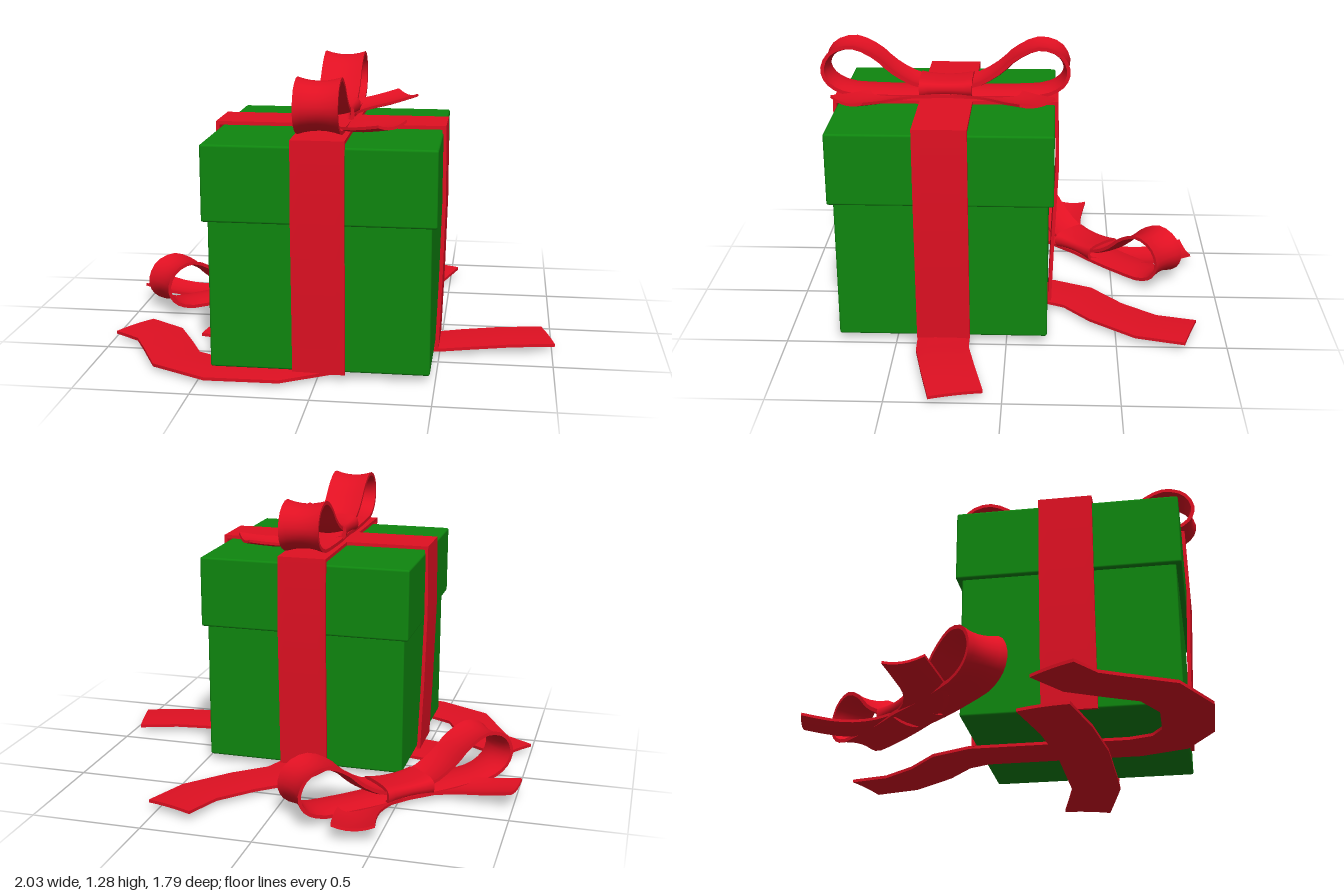
import * as THREE from 'three';
import { toCreasedNormals } from 'three/addons/utils/BufferGeometryUtils.js';
import { RoundedBoxGeometry } from 'three/addons/geometries/RoundedBoxGeometry.js';

const red = new THREE.MeshStandardMaterial({ color: 0xe01022 });
const green = new THREE.MeshStandardMaterial({ color: 0x0f860f });
const UP = new THREE.Vector3(0, 1, 0);
const V = (x, y, z) => new THREE.Vector3(x, y, z);

// Strip of ribbon along a path: thin, mitred at bends, bowed across its width by "curl".
// "side" fixes the width direction; without it the strip lies flat on the ground plane.
function ribbon(name, path, { width, side = null, thick = 0.016, curl = 0, closed = false }) {
  const across = 6, ring = 2 * (across + 1), n = path.length;
  const pos = [], idx = [];
  const quad = (a, b, c, d) => idx.push(a, b, c, a, c, d);
  path.forEach((p, i) => {
    const prev = closed ? path[(i + n - 1) % n] : path[Math.max(i - 1, 0)];
    const next = closed ? path[(i + 1) % n] : path[Math.min(i + 1, n - 1)];
    const tIn = p.clone().sub(prev).normalize(), tOut = next.clone().sub(p).normalize();
    const t = tIn.clone().add(tOut).normalize();
    const miter = 1 / Math.max(0.5, t.dot(tOut.lengthSq() ? tOut : tIn));
    const s = side ? side.clone() : t.clone().cross(UP).normalize();
    const nrm = s.clone().cross(t).normalize();
    for (let k = 0; k < ring; k++) {
      const top = k <= across;
      const v = (top ? k : ring - 1 - k) / across * 2 - 1;
      const w = v * width / 2 * (side ? 1 : miter);
      const h = (top ? 0.5 : -0.5) * thick + curl * (1 - v * v);
      const q = p.clone().addScaledVector(s, w).addScaledVector(nrm, h * (side ? miter : 1));
      pos.push(q.x, q.y, q.z);
    }
  });
  for (let i = 0; i < (closed ? n : n - 1); i++) {
    const a = i * ring, b = ((i + 1) % n) * ring;
    for (let k = 0; k < ring; k++) {
      const k2 = (k + 1) % ring;
      quad(a + k, a + k2, b + k2, b + k);
    }
  }
  if (!closed) {
    const e = (n - 1) * ring;
    for (let j = 0; j < across; j++) {
      const l = ring - 1 - j;
      quad(j, l, l - 1, j + 1);
      quad(e + j, e + j + 1, e + l - 1, e + l);
    }
  }
  const geo = new THREE.BufferGeometry();
  geo.setAttribute('position', new THREE.Float32BufferAttribute(pos, 3));
  geo.setIndex(idx);
  const mesh = new THREE.Mesh(toCreasedNormals(geo, 0.75), red);
  mesh.name = name;
  return mesh;
}

const smooth = (pts, count) => new THREE.CatmullRomCurve3(pts).getPoints(count);

function box(name, w, h, d, x, y, z) {
  const mesh = new THREE.Mesh(new RoundedBoxGeometry(w, h, d, 2, 0.01), green);
  mesh.name = name;
  mesh.position.set(x, y, z);
  return mesh;
}

// Bow with two loops along z, two tails towards +x and a pinched knot; y = 0 is its underside
function createBow(name) {
  const bow = new THREE.Group();
  bow.name = name;
  const loop = [[0.0, 0.025], [0.14, 0.02], [0.3, 0.022], [0.46, 0.035], [0.535, 0.08], [0.558, 0.145],
    [0.52, 0.22], [0.425, 0.25], [0.32, 0.205], [0.24, 0.135], [0.13, 0.075], [0, 0.06]];
  const tail = [[0, 0.03, 0.05], [0.03, 0.03, 0.15], [0.1, 0.035, 0.265], [0.19, 0.045, 0.345], [0.3, 0.07, 0.42]];
  for (const m of [1, -1]) {
    const tag = m > 0 ? 'Front' : 'Back';
    bow.add(ribbon('bowLoop' + tag, smooth(loop.map(([z, y]) => V(0, y, z * m)), 28),
      { width: 0.185, side: V(m, 0, 0), curl: -0.016 }));
    bow.add(ribbon('bowTail' + tag, smooth(tail.map(([x, y, z]) => V(x, y, z * m)), 8),
      { width: 0.185, curl: -0.018, thick: 0.012 }));
  }
  const knot = [];
  for (let i = 0; i < 20; i++) {
    const a = i / 20 * Math.PI * 2, c = Math.cos(a), s = Math.sin(a);
    knot.push(V(0.1 * Math.sign(c) * Math.abs(c) ** 0.6, 0.054 + 0.036 * Math.sign(s) * Math.abs(s) ** 0.6, 0));
  }
  bow.add(ribbon('bowKnot', knot, { width: 0.24, side: V(0, 0, -1), curl: -0.012, closed: true }));
  return bow;
}

export function createModel() {
  const model = new THREE.Group();
  model.name = 'giftBox';
  const cx = 0.008, cz = 0.288;

  // Box and lid
  model.add(box('boxBase', 0.94, 0.68, 0.945, cx, 0.375, cz));
  model.add(box('boxLid', 0.985, 0.33, 0.995, cx, 0.845, cz));

  // Ribbons over the lid and down the sides, drawn in towards the bottom
  const wrap = (foot, mid, top) => {
    const half = [[foot, 0.03], [foot + 0.012, 0.35], [mid, 0.72], [top, 1.032]];
    return [...half, ...half.slice().reverse().map(([u, y]) => [-u, y])];
  };
  model.add(ribbon('ribbonFrontToBack', wrap(0.482, 0.511, 0.504).map(([u, y]) => V(cx, y, cz + u)),
    { width: 0.225, side: V(1, 0, 0) }));
  model.add(ribbon('ribbonSideToSide', wrap(0.48, 0.501, 0.496).map(([u, y]) => V(cx + u, y, cz - 0.003)),
    { width: 0.24, side: V(0, 0, -1) }));

  // Loose ribbons lying under the box and trailing over the ground
  const trailX = [[-0.585, 0.01, 0.19], [-0.3, 0.01, 0.25], [0, 0.01, 0.285], [0.5, 0.022, 0.285],
    [0.61, 0.034, 0.28], [0.8, 0.04, 0.24], [0.985, 0.034, 0.195]];
  const trailZ = [[0.43, 0.042, -0.84], [0.365, 0.034, -0.64], [0.22, 0.028, -0.46], [0.07, 0.026, -0.33],
    [0.01, 0.026, -0.19], [0.01, 0.026, 0.2], [0.01, 0.026, 0.52], [-0.04, 0.026, 0.68], [-0.18, 0.026, 0.765],
    [-0.44, 0.026, 0.77], [-0.635, 0.026, 0.67], [-0.72, 0.026, 0.5], [-0.79, 0.026, 0.37], [-0.935, 0.026, 0.275]];
  model.add(ribbon('groundRibbonSide', trailX.map(p => V(...p)), { width: 0.235, curl: 0.004, thick: 0.014 }));
  model.add(ribbon('groundRibbonCurved', trailZ.map(p => V(...p)), { width: 0.225, curl: 0.004, thick: 0.014 }));

  // Bow on the lid and a second one on the ground behind
  const topBow = createBow('lidBow');
  topBow.position.set(cx, 1.03, cz);
  const groundBow = createBow('groundBow');
  groundBow.position.set(-0.49, 0.008, -0.38);
  groundBow.rotation.y = Math.PI * 0.75;
  model.add(topBow, groundBow);
  return model;
}
